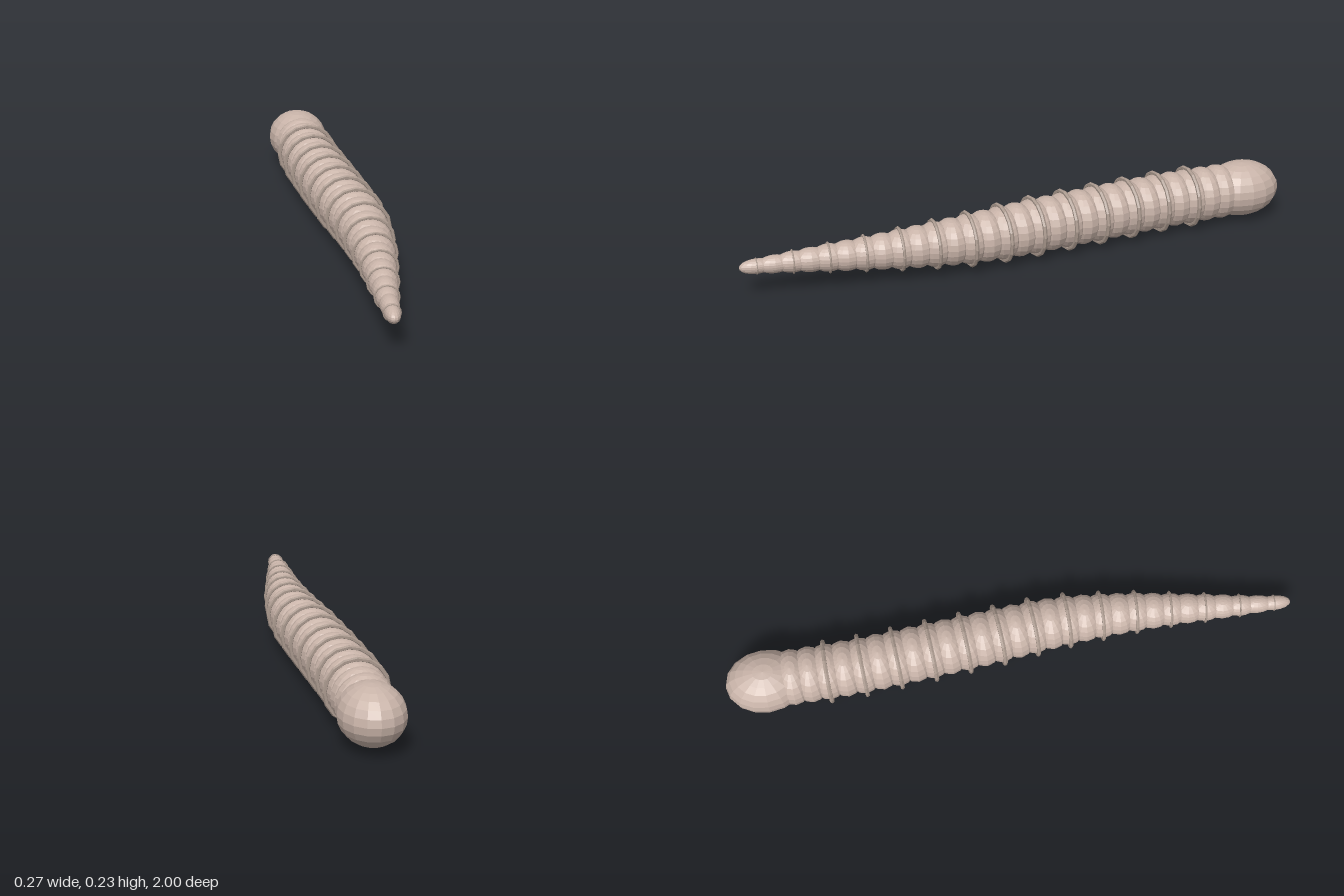
import * as THREE from 'three';

export function createModel() {
  const worm = new THREE.Group();
  worm.name = 'worm';
  const skin = new THREE.MeshStandardMaterial({ color: 0xc9b4a9, flatShading: true });
  skin.name = 'skin';
  const fold = new THREE.MeshStandardMaterial({ color: 0xab9a8f, flatShading: true });
  fold.name = 'skin fold';

  // Gently bending spine, from the head (-z) to the tail tip (+z); [z, x, radius]
  const profile = [
    [-0.86, -0.025, 0.098], [-0.645, -0.023, 0.099], [-0.525, -0.02, 0.099], [-0.28, -0.003, 0.099],
    [-0.035, 0.016, 0.097], [0.085, 0.027, 0.094], [0.21, 0.033, 0.088], [0.33, 0.031, 0.079],
    [0.455, 0.026, 0.069], [0.575, 0.016, 0.058], [0.7, 0.004, 0.048], [0.82, -0.008, 0.037],
    [0.94, -0.017, 0.026], [1.0, -0.02, 0.022],
  ];
  const at = (z, column) => {
    let i = 1;
    while (i < profile.length - 1 && profile[i][0] < z) i++;
    const a = profile[i - 1], b = profile[i];
    return THREE.MathUtils.mapLinear(z, a[0], b[0], a[column], b[column]);
  };
  const midY = 0.116;

  const ball = new THREE.SphereGeometry(1, 16, 12);
  const add = (name, geometry, material, z) => {
    const mesh = new THREE.Mesh(geometry, material);
    mesh.name = name;
    mesh.position.set(at(z, 1), midY, z);
    mesh.rotation.y = Math.atan2(at(z + 0.03, 1) - at(z - 0.03, 1), 0.06);
    worm.add(mesh);
    return mesh;
  };

  // Rounded head
  add('head', ball, skin, -0.86).scale.set(0.11, 0.1, 0.14);

  // Overlapping body segments, with a raised fold around every second one
  const spacing = 0.061;
  for (let i = -1; i < 28; i++) {
    const z = -0.706 + i * spacing;
    const r = at(z, 2);
    add('bodySegment', ball, skin, z).scale.set(r, r, 0.056 + r * 0.13);
    if (i > 0 && i % 2 === 1) {
      add('skinFold', new THREE.TorusGeometry(r * 1.06, r * 0.08, 6, 16), fold, z);
    }
  }
  return worm;
}
